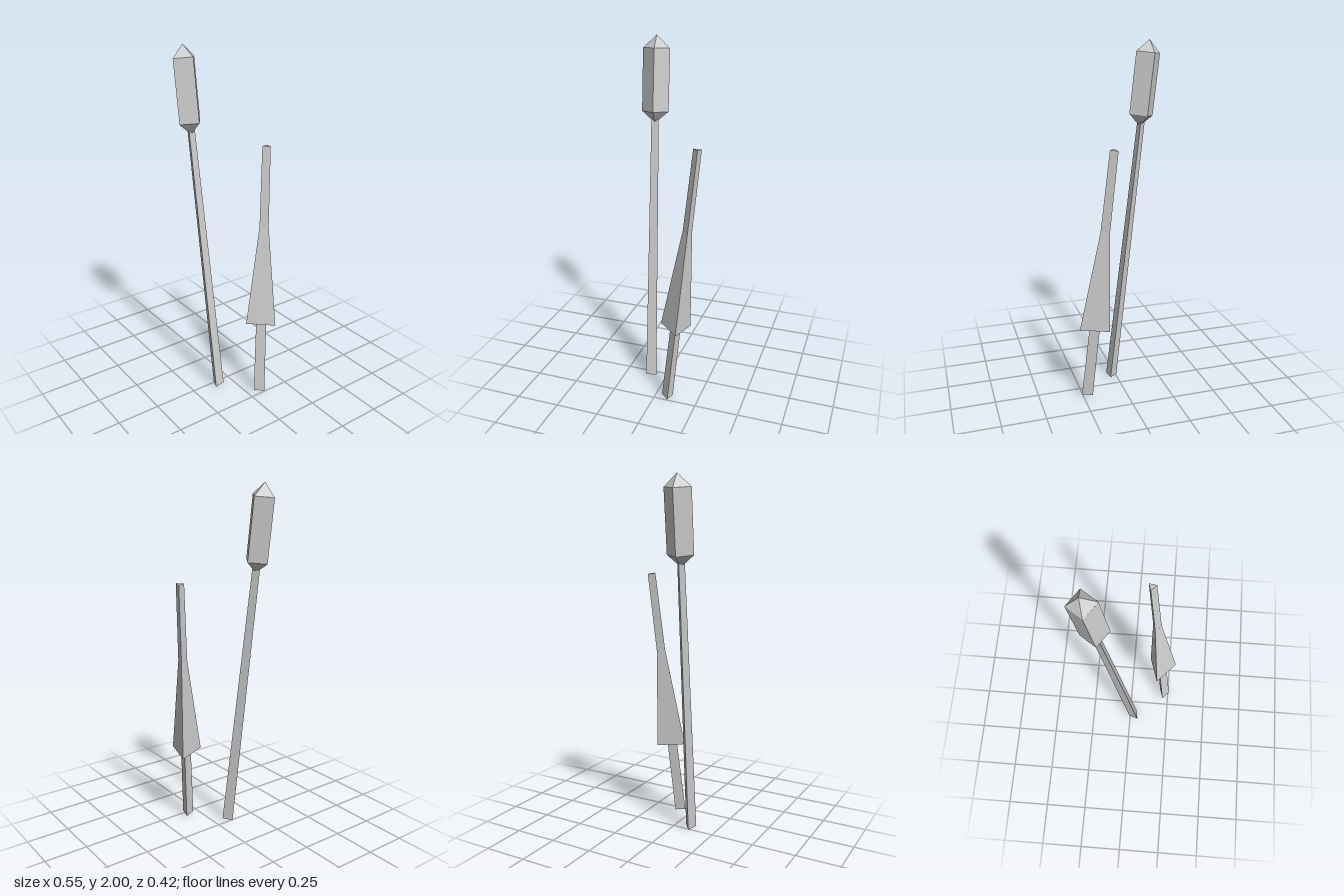
import * as THREE from 'three';

// Flat-sided tapered segment running from point a to point b
function segment(name, a, b, rA, rB, sides, turn, material) {
  const from = new THREE.Vector3(...a);
  const to = new THREE.Vector3(...b);
  const axis = to.clone().sub(from);
  const geometry = new THREE.CylinderGeometry(rB, rA, axis.length(), sides, 1, false, turn);
  const mesh = new THREE.Mesh(geometry, material);
  mesh.name = name;
  mesh.position.copy(from).add(to).multiplyScalar(0.5);
  mesh.quaternion.setFromUnitVectors(new THREE.Vector3(0, 1, 0), axis.normalize());
  return mesh;
}

export function createModel() {
  const model = new THREE.Group();
  model.name = 'reeds';
  const grey = new THREE.MeshStandardMaterial({ color: 0xcccccc });
  grey.name = 'plain grey';
  grey.flatShading = true;

  // Tall reed: three-sided stem with a four-sided seed head pointed at both ends
  const tall = new THREE.Group();
  tall.name = 'tallReed';
  const turn = -1.4;
  const headTip = [-0.155, 1.53, 0.129];
  const headLow = [-0.163, 1.593, 0.13];
  const headHigh = [-0.2035, 1.932, 0.135];
  const headTop = [-0.211, 2.0, 0.136];
  tall.add(
    segment('tallStem', [0.029, 0.005, 0.094], [-0.162, 1.55, 0.129], 0.036, 0.024, 3, turn, grey),
    segment('seedHeadBase', headTip, headLow, 0, 0.0746, 4, turn, grey),
    segment('seedHead', headLow, headHigh, 0.0746, 0.0746, 4, turn, grey),
    segment('seedHeadPoint', headHigh, headTop, 0.0746, 0, 4, turn, grey),
  );

  // Short reed: three-sided stem wrapped by a flaring leaf sheath
  const short = new THREE.Group();
  short.name = 'shortReed';
  const shortTurn = -2.318;
  short.add(
    segment('shortStem', [0.223, 0.01, -0.074], [0.0913, 1.47, -0.194], 0.0365, 0.026, 3, shortTurn, grey),
    segment('leafSheath', [0.1835, 0.448, -0.11], [0.132, 1.02, -0.157], 0.097, 0.0295, 3, shortTurn, grey),
  );

  model.add(tall, short);
  return model;
}
